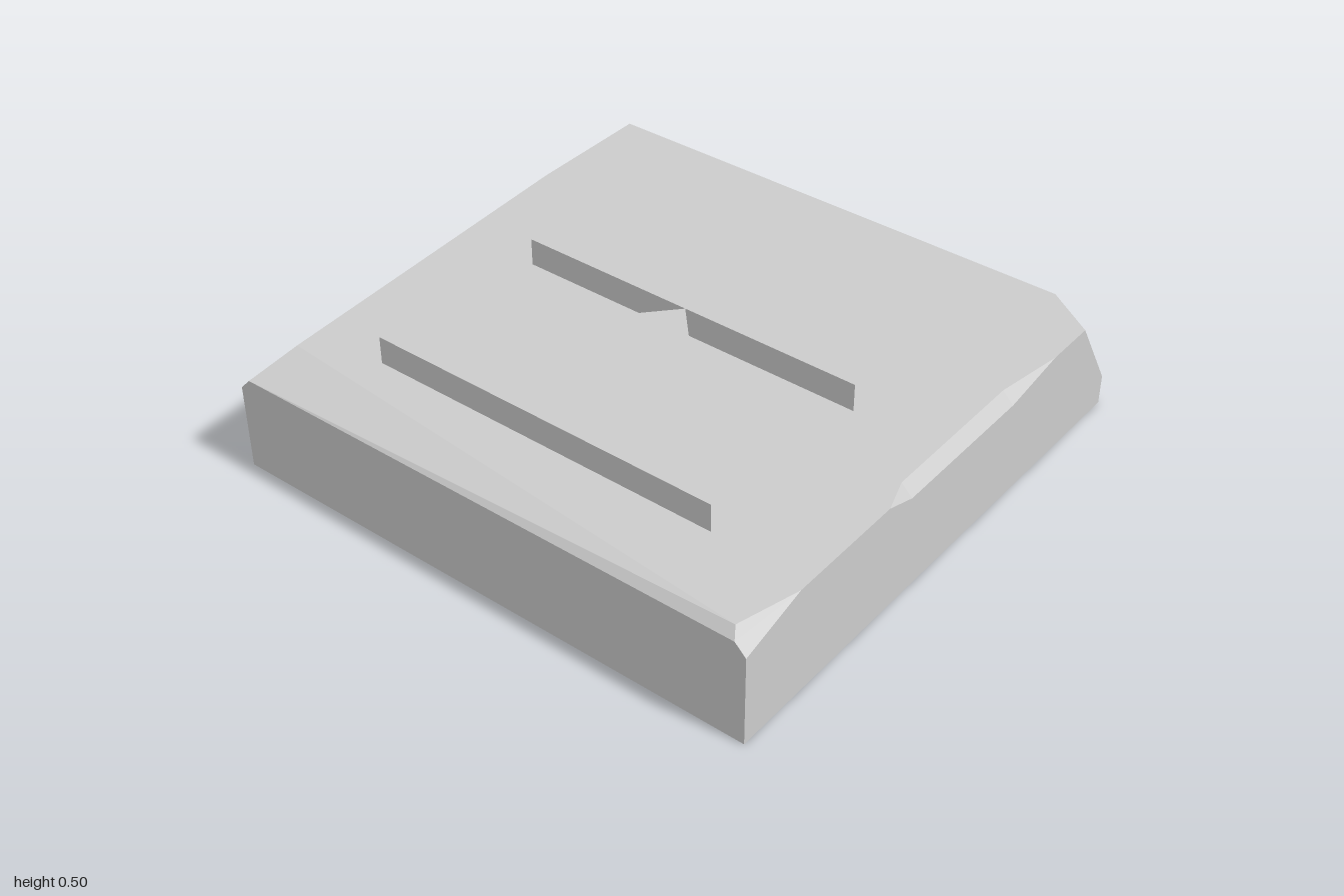
import * as THREE from 'three';

const V = (x, y, z) => new THREE.Vector3(x, y, z);

// Polygon faces -> flat geometry; each face is [dropped axis, ...corners], wound to face away from the centre
function facesToGeometry(faces, centre) {
  const pos = [];
  for (const [axis, ...pts] of faces) {
    const flat = pts.map(p => axis === 'x' ? new THREE.Vector2(p.y, p.z)
      : axis === 'y' ? new THREE.Vector2(p.x, p.z) : new THREE.Vector2(p.x, p.y));
    for (const [i, j, k] of THREE.ShapeUtils.triangulateShape(flat, [])) {
      let [a, b, c] = [pts[i], pts[j], pts[k]];
      const n = b.clone().sub(a).cross(c.clone().sub(a));
      if (n.dot(a.clone().sub(centre)) < 0) [b, c] = [c, b];
      for (const p of [a, b, c]) pos.push(p.x, p.y, p.z);
    }
  }
  const geo = new THREE.BufferGeometry();
  geo.setAttribute('position', new THREE.Float32BufferAttribute(pos, 3));
  geo.computeVertexNormals();
  return geo;
}

export function createModel() {
  const model = new THREE.Group();
  model.name = 'arrowTile';
  const material = new THREE.MeshStandardMaterial({ color: 0xcccccc, flatShading: true });
  const T = 0.4; // height of the slab's top

  // Bottom corners
  const b0 = V(-1, 0, 1), b1 = V(1, 0, 1), b2 = V(1, 0, -1), b3 = V(-1, 0, -1);
  // Front left chip
  const fl = [V(-1, 0.33, 1), V(-0.75, T, 1), V(-0.97, T, 0.94), V(-1, 0.37, 0.96)];
  // Front middle chip: lower edge on the front, upper edge on the top
  const fm = [V(-0.31, T, 1), V(-0.19, 0.36, 1), V(0.38, 0.36, 1), V(0.63, T, 1)];
  const fmTop = [V(0.38, T, 0.96), V(-0.19, T, 0.96)];
  // Front right corner chip
  const fr = [V(0.82, T, 1), V(1, 0.11, 1), V(1, 0.2, 0.87), V(0.94, T, 0.82)];
  // Back end of the right bevel
  const rb = [V(1, 0.34, -1), V(0.94, T, -1)];
  // Back left chip
  const bl = [V(0.47, T, -1), V(-1, 0.315, -1), V(-1, 0.358, -0.96), V(-0.81, T, -0.935)];

  const slab = new THREE.Mesh(facesToGeometry([
    ['y', b0, b1, b2, b3],
    ['z', b0, b1, fr[1], fr[0], fm[3], fm[2], fm[1], fm[0], fl[1], fl[0]],
    ['x', b1, b2, rb[0], fr[2], fr[1]],
    ['z', b2, b3, bl[1], bl[0], rb[1], rb[0]],
    ['x', b3, b0, fl[0], fl[3], bl[2], bl[1]],
    ['y', fl[2], fl[1], fm[0], fmTop[1], fmTop[0], fm[3], fr[0], fr[3], rb[1], bl[0], bl[3]],
    ['y', ...fl],
    ['z', fm[0], fm[1], fmTop[1]], ['y', fm[1], fm[2], fmTop[0], fmTop[1]], ['z', fm[2], fm[3], fmTop[0]],
    ['z', ...fr],
    ['y', fr[3], fr[2], rb[0], rb[1]],
    ['y', ...bl],
    ['y', fl[2], fl[3], bl[2], bl[3]],
  ], V(0, 0.2, 0)), material);
  slab.name = 'chippedSlab';
  model.add(slab);

  // Two raised triangles pointing to +x
  const triangle = new THREE.Shape([
    new THREE.Vector2(0, -0.655), new THREE.Vector2(0.715, 0), new THREE.Vector2(0, 0.655),
  ]);
  const arrowGeo = new THREE.ExtrudeGeometry(triangle, { depth: 0.1, bevelEnabled: false }).rotateX(-Math.PI / 2);
  [-0.71, 0.005].forEach((x, i) => {
    const arrow = new THREE.Mesh(arrowGeo, material);
    arrow.name = `raisedArrow${i + 1}`;
    arrow.position.set(x, T, 0);
    model.add(arrow);
  });
  return model;
}
